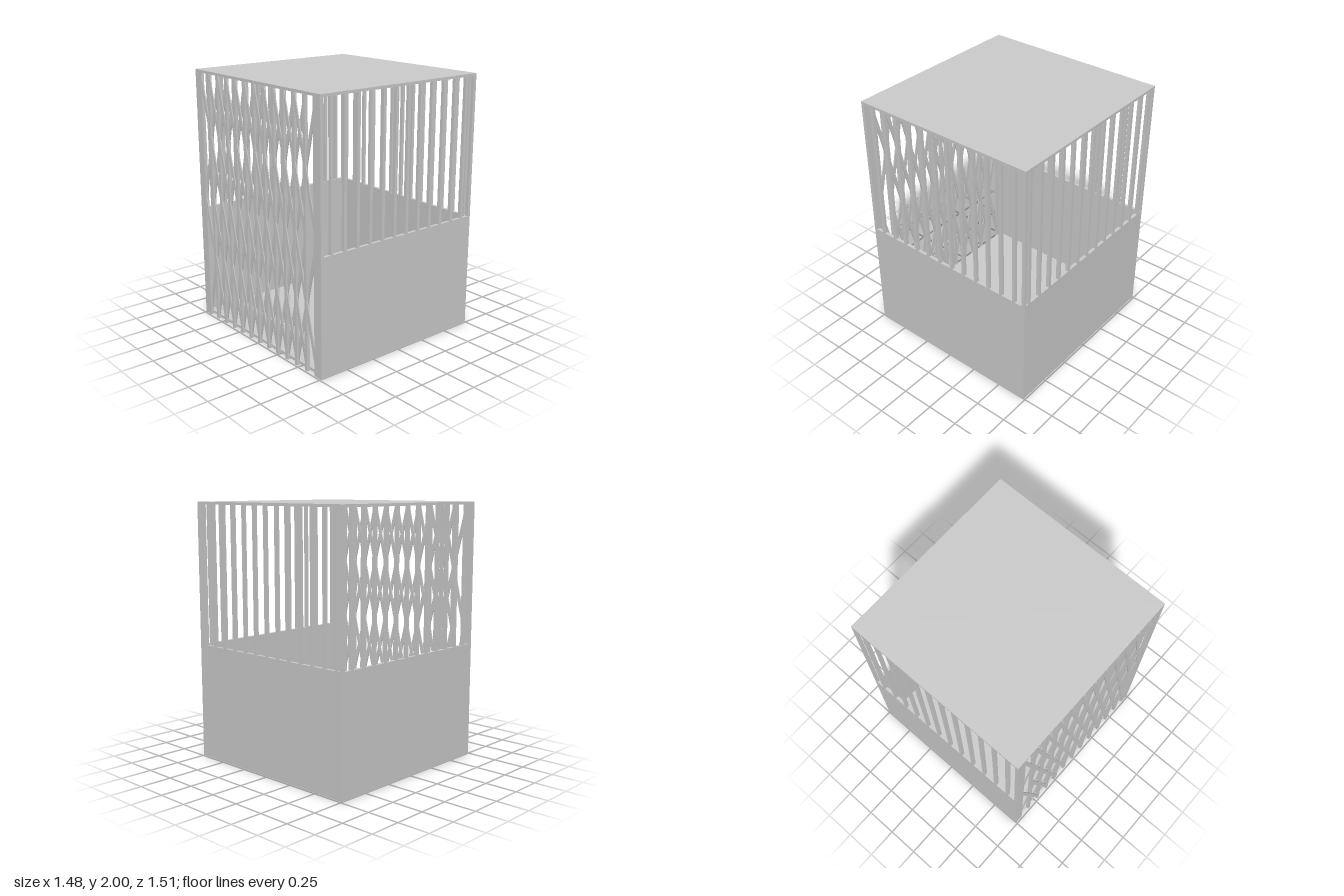
import * as THREE from 'three';

const X = 0.738, Z = 0.755;        // half width and half depth
const T = 0.025;                   // wall and bar thickness
const RAIL = 0.9, CEIL = 1.98;     // top of solid panels, underside of roof
const PITCH = 0.1163;              // bar spacing

export function createModel() {
  const root = new THREE.Group();
  root.name = 'liftCage';
  const material = new THREE.MeshStandardMaterial({ color: 0xcccccc });

  const box = (parent, name, w, h, d, x, y, z) => {
    const mesh = new THREE.Mesh(new THREE.BoxGeometry(w, h, d), material);
    mesh.name = name;
    mesh.position.set(x, y, z);
    parent.add(mesh);
    return mesh;
  };
  const group = (name) => {
    const g = new THREE.Group();
    g.name = name;
    root.add(g);
    return g;
  };
  const barH = CEIL - RAIL, barY = (CEIL + RAIL) / 2;

  // Roof and floor slabs
  box(root, 'roof', 2 * X, 2 - CEIL, 2 * Z, 0, (2 + CEIL) / 2, 0);
  box(root, 'floor', 2 * X - 2 * T, 0.02, 2 * Z - 2 * T, 0, 0.018, 0);

  // Front and back walls: solid panel, twelve bars above, slim corner posts
  for (const [name, s] of [['frontWall', 1], ['backWall', -1]]) {
    const wall = group(name);
    const z = s * (Z - T / 2);
    box(wall, 'panel', 2 * X, RAIL, T, 0, RAIL / 2, z);
    for (let i = 0; i < 12; i++) {
      box(wall, 'bar', T, barH, T, (i - 5.5) * PITCH, barY, z);
    }
    box(wall, 'cornerPost', T, barH, T, X - T / 2, barY, z);
  }

  // Closed side wall: solid panel with thirteen bars
  const side = group('sideWall');
  box(side, 'panel', T, RAIL, 2 * Z - 2 * T, X - T / 2, RAIL / 2, 0);
  for (let i = -6; i <= 6; i++) {
    box(side, 'bar', T, barH, T, X - T / 2, barY, i * PITCH);
  }

  // Folding gate on the open side: wide end posts and upright channels
  const gate = group('foldingGate');
  const gx = -X + T / 2;
  for (const s of [-1, 1]) {
    box(gate, 'endPost', T, CEIL, 0.077, gx, CEIL / 2, s * (Z - 0.0385));
  }
  for (let i = -5; i <= 5; i++) {
    box(gate, 'upright', T, CEIL, T, gx, CEIL / 2, i * PITCH);
  }

  // Crossed lattice strips in two layers; end bays carry only the inward legs
  const step = 0.485, base = 0.045;
  const length = Math.hypot(PITCH, step);
  const lean = Math.atan2(PITCH, step);
  for (let bay = -6; bay < 6; bay++) {
    for (let row = 0; row < 4; row++) {
      for (const dir of [-1, 1]) {
        const inward = row % 2 === 0 ? -1 : 1;
        if (bay === -6 && dir !== -inward) continue;
        if (bay === 5 && dir !== inward) continue;
        const strip = box(gate, 'latticeStrip', 0.008, length, 0.028,
          gx + dir * 0.005, base + (row + 0.5) * step, (bay + 0.5) * PITCH);
        strip.rotation.x = dir * lean;
      }
    }
  }
  return root;
}
